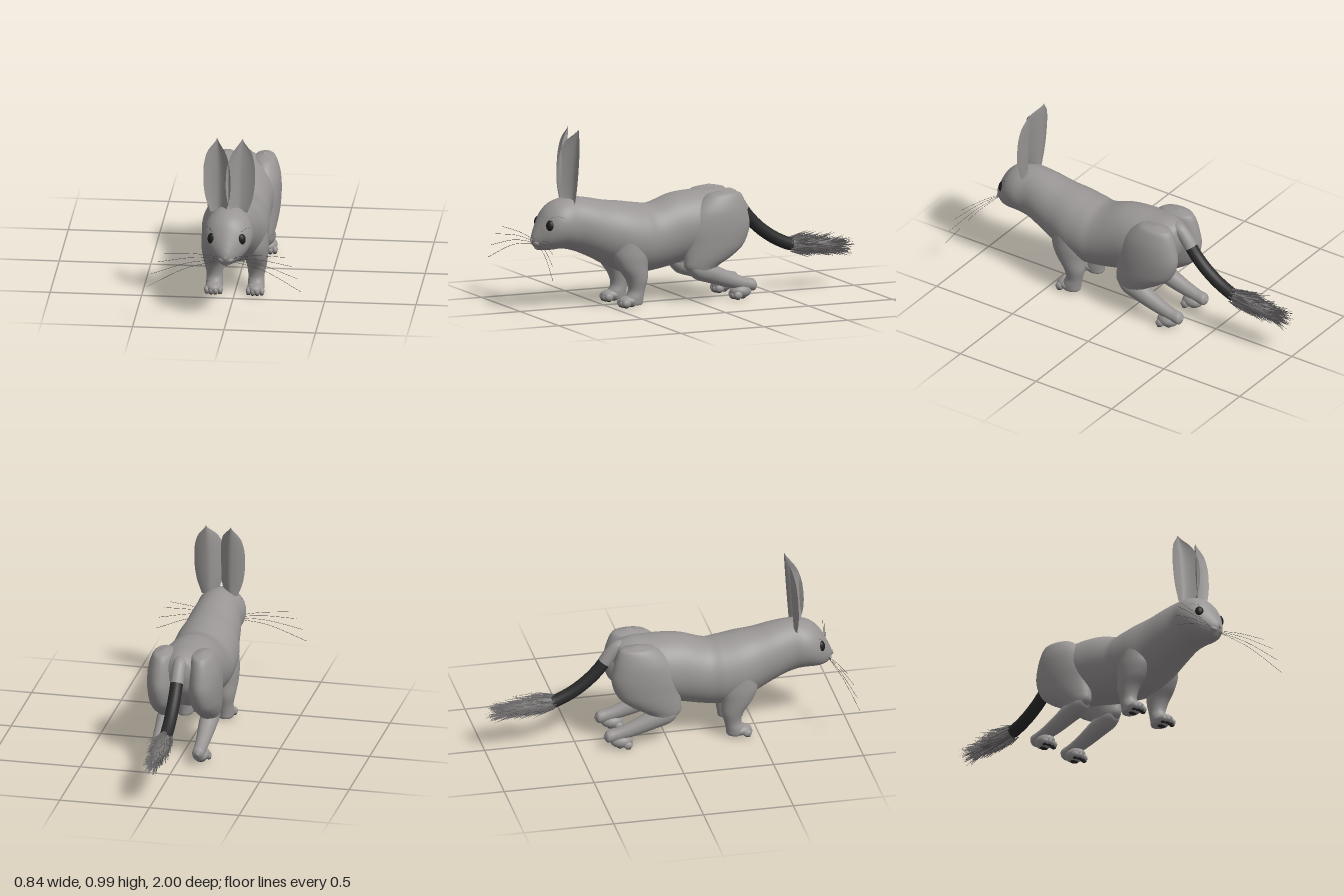
import * as THREE from 'three';
import { mergeGeometries } from 'three/addons/utils/BufferGeometryUtils.js';

const V = (x, y, z) => new THREE.Vector3(x, y, z);
const mat = (name, color) => Object.assign(new THREE.MeshStandardMaterial({ color }), { name });

// Smooth skin through oval rings. Keys run from high to low: [x, y, z, halfWidth, halfDepth].
// axis 'z' stacks upright rings front to back, axis 'y' stacks flat rings top to bottom.
function loft(keys, axis, sides = 36, steps = 6) {
  const centre = new THREE.CatmullRomCurve3(keys.map(k => V(k[0], k[1], k[2])));
  const radii = new THREE.CatmullRomCurve3(keys.map((k, i) => V(k[3], k[4], i * 0.05)));
  const n = (keys.length - 1) * steps, pos = [], idx = [];
  for (let i = 0; i <= n; i++) {
    const c = centre.getPoint(i / n), r = radii.getPoint(i / n);
    const ru = Math.max(r.x, 0.0005), rv = Math.max(r.y, 0.0005);
    for (let j = 0; j < sides; j++) {
      const a = (j / sides) * Math.PI * 2, u = Math.cos(a) * ru, v = Math.sin(a) * rv;
      if (axis === 'z') pos.push(c.x + u, c.y + v, c.z);
      else pos.push(c.x + u, c.y, c.z - v);
      if (i < n) {
        const p = i * sides + j, q = i * sides + (j + 1) % sides;
        idx.push(p, p + sides, q, q, p + sides, q + sides);
      }
    }
  }
  const g = new THREE.BufferGeometry();
  g.setAttribute('position', new THREE.Float32BufferAttribute(pos, 3));
  g.setIndex(idx);
  g.computeVertexNormals();
  return g;
}

const blob = (x, y, z, rx, ry, rz) =>
  new THREE.SphereGeometry(1, 24, 16).scale(rx, ry, rz).translate(x, y, z);
const tube = (pts, r, seg = 16, sides = 5) =>
  new THREE.TubeGeometry(new THREE.CatmullRomCurve3(pts), seg, r, sides);

// Thin pointed hair from p along direction d
function hair(p, d, len, r) {
  const g = new THREE.ConeGeometry(r, len, 3, 1, true).translate(0, len / 2, 0);
  g.applyQuaternion(new THREE.Quaternion().setFromUnitVectors(V(0, 1, 0), d.clone().normalize()));
  return g.translate(p.x, p.y, p.z);
}

// Tall cupped ear: the inner edge folds forward, the outer edge curls slightly
function earGeometry(side) {
  const half = new THREE.SplineCurve([0.042, 0.064, 0.075, 0.077, 0.072, 0.051, 0.0]
    .map((w, i) => new THREE.Vector2(i / 6, w)));
  const g = new THREE.PlaneGeometry(2, 1, 16, 28), p = g.attributes.position;
  for (let i = 0; i < p.count; i++) {
    const s = p.getX(i), t = p.getY(i) + 0.5;
    const w = Math.max(half.getPoint(t).y, 0.0005), k = w / 0.075;
    const fold = 0.075 * Math.max(0, -s) ** 1.7 + 0.02 * Math.max(0, s) ** 2;
    p.setXYZ(i, side * (0.06 + 0.009 * t + s * w), 0.58 + 0.412 * t, 0.708 - 0.027 * t + fold * k);
  }
  if (side < 0) {
    const ix = g.index.array;
    for (let i = 0; i < ix.length; i += 3) [ix[i], ix[i + 1]] = [ix[i + 1], ix[i]];
  }
  g.computeVertexNormals();
  return g;
}

export function createModel() {
  const root = new THREE.Group();
  root.name = 'longEaredAnimal';
  const fur = mat('greyFur', 0x999595);
  const earFur = mat('earFur', 0x999595);
  earFur.side = THREE.DoubleSide;
  const dark = mat('darkFur', 0x2b2a2a);
  const whiskerMat = mat('whiskerGrey', 0x444242);
  const tuftMat = mat('tuftHair', 0x737070);
  const eyeMat = mat('eyeBlack', 0x1e1d1d);
  const add = (name, geo, m) => {
    const mesh = new THREE.Mesh(geo, m);
    mesh.name = name;
    root.add(mesh);
  };

  // Head, neck and trunk in one skin
  add('body', loft([
    [0, 0.392, 0.934, 0.001, 0.001], [0, 0.394, 0.927, 0.022, 0.026],
    [0, 0.400, 0.912, 0.043, 0.055], [0, 0.418, 0.888, 0.070, 0.084],
    [0, 0.440, 0.858, 0.099, 0.111], [0, 0.459, 0.815, 0.124, 0.129],
    [0, 0.470, 0.760, 0.135, 0.138], [0, 0.465, 0.690, 0.131, 0.149],
    [0, 0.440, 0.600, 0.145, 0.162], [0, 0.403, 0.500, 0.160, 0.178],
    [0, 0.373, 0.400, 0.180, 0.195], [0, 0.360, 0.300, 0.181, 0.192],
    [0, 0.360, 0.230, 0.172, 0.186], [0, 0.393, 0.100, 0.170, 0.195],
    [0, 0.412, 0.000, 0.174, 0.188], [0, 0.425, -0.100, 0.170, 0.176],
    [0, 0.455, -0.190, 0.130, 0.148], [0, 0.485, -0.260, 0.075, 0.095],
    [0, 0.495, -0.290, 0.001, 0.001]], 'z', 48), fur);

  // Chin and small triangular nose
  add('chin', blob(0, 0.352, 0.887, 0.028, 0.02, 0.028), fur);
  add('nose', new THREE.CylinderGeometry(0.01, 0.019, 0.014, 3)
    .rotateX(Math.PI / 2).rotateX(-0.25).translate(0, 0.391, 0.932), fur);

  for (const s of [1, -1]) {
    const side = s > 0 ? 'left' : 'right';
    add(side + 'Cheek', blob(s * 0.017, 0.374, 0.904, 0.026, 0.02, 0.024), fur);
    add(side + 'Ear', earGeometry(s), earFur);
    add(side + 'Eye', blob(s * 0.077, 0.472, 0.852, 0.027, 0.035, 0.026), eyeMat);

    // Brow lashes above the eye
    const brow = [];
    for (let i = 0; i < 10; i++) {
      const t = i / 9;
      brow.push(hair(V(s * (0.078 + 0.035 * t), 0.515 + 0.008 * Math.sin(t * 3), 0.853 - 0.055 * t),
        V(s * 0.7, 0.35, -0.3), 0.014, 0.0015));
    }
    add(side + 'Brow', mergeGeometries(brow), dark);

    // Whiskers arching outwards and drooping
    [[0.33, 0.415, 0.955], [0.37, 0.37, 0.975], [0.40, 0.305, 0.988], [0.42, 0.235, 0.998]]
      .forEach(([x, y, z], i) => {
        const y0 = 0.384 - i * 0.006, z0 = 0.9 + i * 0.004;
        add(side + 'Whisker', tube([V(s * 0.035, y0, z0),
          V(s * x * 0.5, y0 + (y - y0) * 0.35 + 0.012, z0 + (z - z0) * 0.42),
          V(s * x, y, z)], 0.001, 16, 4), whiskerMat);
      });

    // Front leg with a broad shoulder
    add(side + 'FrontLeg', loft([
      [s * 0.09, 0.49, 0.40, 0.001, 0.001], [s * 0.098, 0.43, 0.402, 0.068, 0.075],
      [s * 0.106, 0.30, 0.392, 0.077, 0.106], [s * 0.114, 0.22, 0.38, 0.066, 0.087],
      [s * 0.116, 0.15, 0.356, 0.054, 0.062], [s * 0.114, 0.09, 0.356, 0.044, 0.047],
      [s * 0.114, 0.045, 0.372, 0.046, 0.054], [s * 0.114, 0.012, 0.375, 0.04, 0.05],
      [s * 0.114, 0.006, 0.375, 0.001, 0.001]], 'y'), fur);

    // Haunch, shin and heel
    add(side + 'Haunch', loft([
      [s * 0.105, 0.604, -0.18, 0.001, 0.001], [s * 0.107, 0.585, -0.172, 0.055, 0.095],
      [s * 0.112, 0.50, -0.145, 0.083, 0.158], [s * 0.114, 0.40, -0.13, 0.088, 0.188],
      [s * 0.116, 0.30, -0.108, 0.080, 0.172], [s * 0.118, 0.24, -0.07, 0.068, 0.138],
      [s * 0.118, 0.19, -0.03, 0.054, 0.095], [s * 0.118, 0.15, -0.03, 0.040, 0.055],
      [s * 0.118, 0.138, -0.03, 0.001, 0.001]], 'y'), fur);
    add(side + 'HindShin', loft([
      [s * 0.118, 0.195, 0.05, 0.001, 0.001], [s * 0.118, 0.19, 0.038, 0.035, 0.035],
      [s * 0.118, 0.178, 0.00, 0.05, 0.056], [s * 0.118, 0.155, -0.08, 0.05, 0.058],
      [s * 0.119, 0.123, -0.16, 0.044, 0.05], [s * 0.12, 0.095, -0.24, 0.037, 0.041],
      [s * 0.12, 0.078, -0.30, 0.034, 0.036], [s * 0.12, 0.071, -0.345, 0.031, 0.032],
      [s * 0.12, 0.070, -0.364, 0.001, 0.001]], 'z'), fur);

    // Paws with softly marked toes and dark sole pads
    for (const [name, x, z, len, h] of [['Front', 0.114, 0.396, 0.066, 0.031], ['Hind', 0.12, -0.265, 0.062, 0.038]]) {
      const paw = [blob(s * x, h + 0.003, z, 0.047, h, len)];
      const pads = [blob(s * x, 0.006, z - 0.008, 0.024, 0.006, 0.02)];
      for (let i = 0; i < 4; i++) {
        const o = (i - 1.5) * 0.024, f = z + len - 0.02 - Math.abs(i - 1.5) * 0.008;
        paw.push(blob(s * x + o, 0.024, f, 0.0155, 0.021, 0.025));
        pads.push(blob(s * x + o, 0.006, f + 0.003, 0.011, 0.006, 0.014));
      }
      add(side + name + 'Paw', mergeGeometries(paw), fur);
      add(side + name + 'Pads', mergeGeometries(pads), dark);
    }
  }

  // Tail: grey root, dark length
  add('tailRoot', tube([V(0, 0.545, -0.20), V(0, 0.555, -0.255), V(0, 0.515, -0.30),
    V(0, 0.466, -0.335)], 0.037, 20, 20), fur);
  add('tail', tube([V(0, 0.476, -0.328), V(0, 0.42, -0.372), V(0, 0.355, -0.44), V(0, 0.30, -0.52),
    V(0, 0.262, -0.60), V(0, 0.255, -0.625)], 0.035, 30, 20), dark);

  // Tuft: a slim core under many backswept hairs
  add('tuftCore', loft([[0, 0.258, -0.60, 0.03, 0.03], [0, 0.248, -0.68, 0.044, 0.042],
    [0, 0.238, -0.80, 0.042, 0.04], [0, 0.23, -0.95, 0.001, 0.001]], 'z', 14), tuftMat);
  let seed = 7;
  const rnd = () => (seed = (seed * 16807) % 2147483647) / 2147483647;
  const hairs = [];
  for (let i = 0; i < 300; i++) {
    const u = rnd(), a = rnd() * Math.PI * 2, r = 0.04 * (1 - 0.65 * u * u);
    const c = Math.cos(a), q = Math.sin(a), out = 0.1 + rnd() * 0.22;
    const z = -0.61 - 0.28 * u, len = Math.min(0.08 + rnd() * 0.05, 0.998 + z);
    hairs.push(hair(V(c * r, 0.255 - 0.03 * u + q * r, z),
      V(c * out + (rnd() - 0.5) * 0.2, q * out + (rnd() - 0.5) * 0.2 - 0.03, -1), len, 0.005));
  }
  add('tailTuft', mergeGeometries(hairs), tuftMat);

  return root;
}
